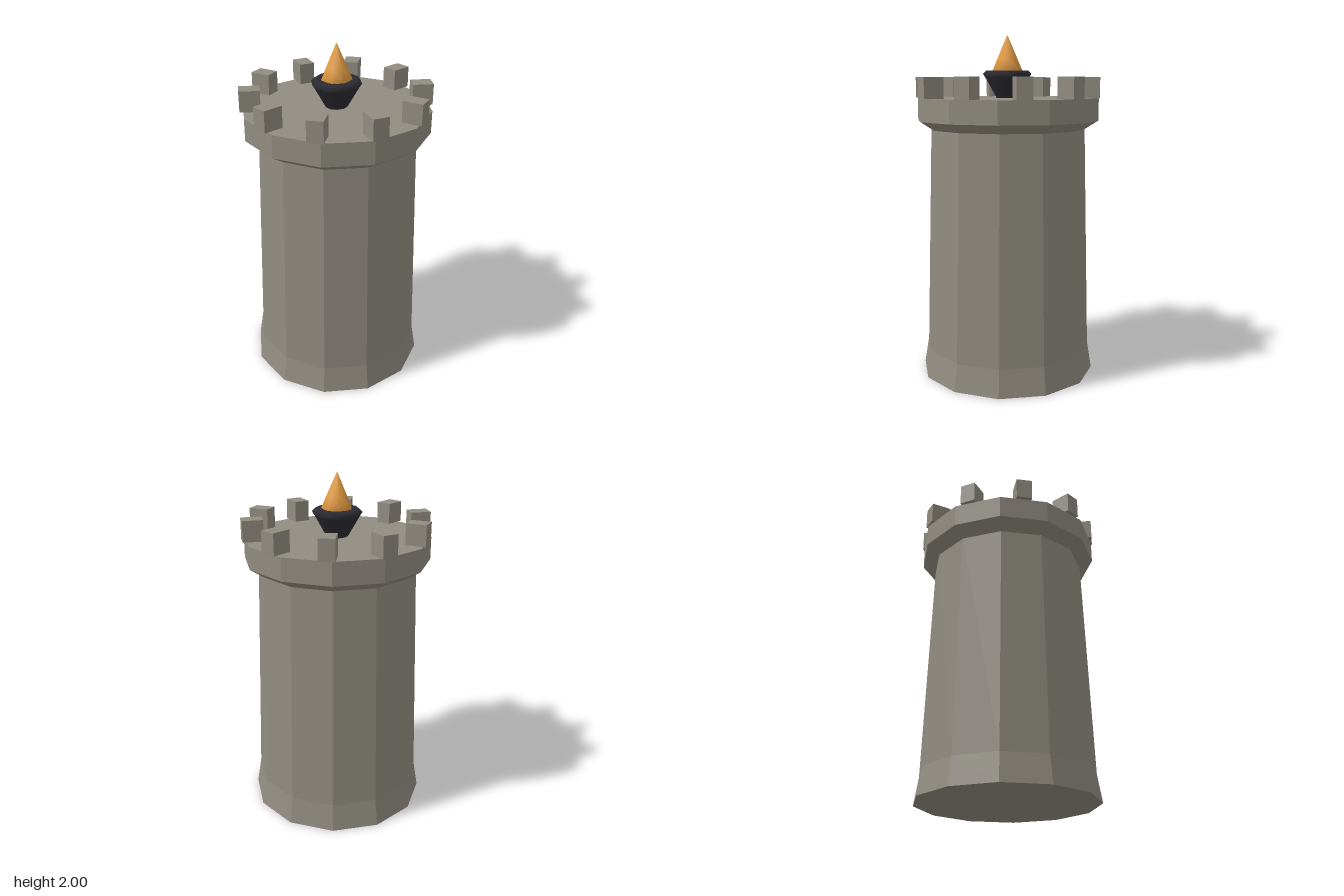
import * as THREE from 'three';

const stone = new THREE.MeshStandardMaterial({ color: 0x918c81, flatShading: true });
stone.name = 'stone';
const iron = new THREE.MeshStandardMaterial({ color: 0x2b2b33 });
iron.name = 'dark iron';
const fire = new THREE.MeshStandardMaterial({ color: 0xe09a40 });
fire.name = 'flame orange';

// Faceted solid of revolution from [radius, height] pairs, listed bottom to top
function turned(name, profile, sides, material, turn = 0) {
  const points = profile.map(([r, y]) => new THREE.Vector2(r, y));
  const mesh = new THREE.Mesh(new THREE.LatheGeometry(points, sides), material);
  mesh.rotation.y = turn;
  mesh.name = name;
  return mesh;
}

export function createModel() {
  const tower = new THREE.Group();
  tower.name = 'tower';

  const sides = 12;
  const half = Math.PI / sides;
  // Convert flat-to-centre distances to corner radii
  const flats = (list) => list.map(([a, y]) => [a / Math.cos(half), y]);

  // Shaft with flared foot
  tower.add(turned('shaft', flats([[0, 0], [0.5, 0], [0.475, 0.16], [0.438, 1.46]]), sides, stone, half));

  // Overhanging platform with sloped underside
  tower.add(turned('platform', flats([[0.438, 1.46], [0.514, 1.51], [0.514, 1.64], [0, 1.64]]), sides, stone, half));

  // Ring of merlons
  const merlons = new THREE.Group();
  merlons.name = 'merlons';
  const block = new THREE.BoxGeometry(0.116, 0.12, 0.09);
  for (let i = 0; i < 10; i++) {
    const angle = (i * Math.PI) / 5;
    const merlon = new THREE.Mesh(block, stone);
    merlon.position.set(Math.cos(angle) * 0.479, 1.7, -Math.sin(angle) * 0.479);
    merlon.rotation.y = angle;
    merlon.name = 'merlon';
    merlons.add(merlon);
  }
  tower.add(merlons);

  // Fire bowl with a rounded rim
  tower.add(turned('fireBowl', [
    [0.06, 1.635], [0.128, 1.755], [0.143, 1.778], [0.125, 1.796], [0.085, 1.796], [0.06, 1.775], [0, 1.775],
  ], 10, iron));

  // Flame, pointed above and narrowing into the bowl
  tower.add(turned('flame', [[0.06, 1.77], [0.089, 1.798], [0.06, 1.865], [0, 2]], 7, fire, Math.PI));

  return tower;
}
